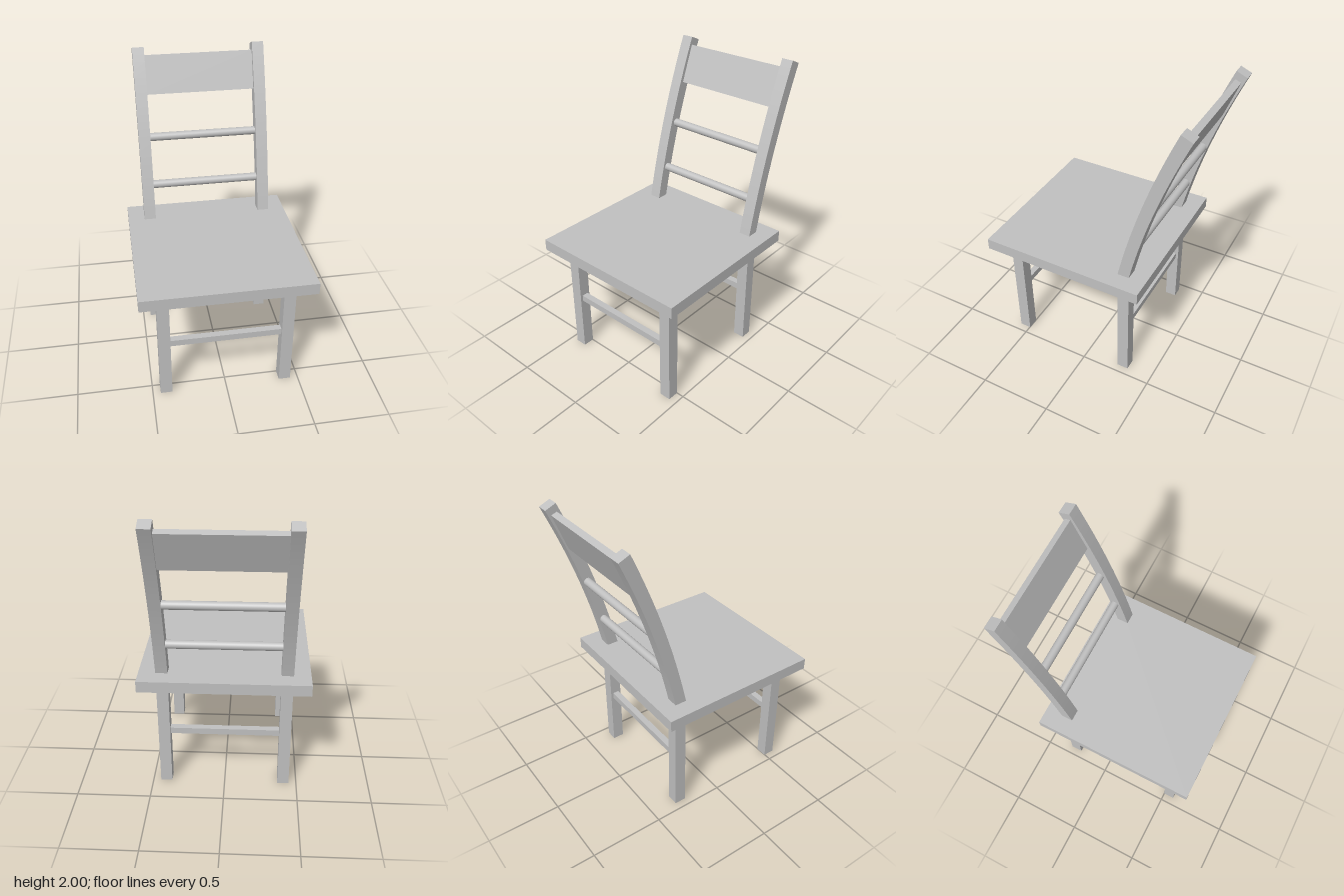
import * as THREE from 'three';

export function createModel() {
  const chair = new THREE.Group();
  chair.name = 'chair';
  const grey = new THREE.MeshStandardMaterial({ color: 0xc0c0c0 });
  grey.name = 'light grey';

  function add(name, geometry, x, y, z) {
    const mesh = new THREE.Mesh(geometry, grey);
    mesh.name = name;
    mesh.position.set(x, y, z);
    chair.add(mesh);
    return mesh;
  }

  const seatBottom = 0.797, seatTop = 0.875;
  const post = 0.079, postX = 0.408;
  const span = 2 * postX - post; // clear width between the posts
  const frontZ = 0.537, backZ = -0.283;

  // Seat slab
  add('seat', new THREE.BoxGeometry(1.12, seatTop - seatBottom, 1.116),
    0, (seatBottom + seatTop) / 2, 0.122);

  // Legs and the low stretcher joining each pair
  const legGeo = new THREE.BoxGeometry(post, seatBottom, post);
  const stretcherGeo = new THREE.BoxGeometry(span, 0.044, 0.044);
  for (const [label, z] of [['front', frontZ], ['back', backZ]]) {
    for (const [side, s] of [['Left', 1], ['Right', -1]]) {
      add(`${label}${side}Leg`, legGeo, s * postX, seatBottom / 2, z);
    }
    add(`${label}Stretcher`, stretcherGeo, 0, 0.413, z);
  }

  // Back posts: a curved side profile (z, y) extruded across x
  const profile = new THREE.Shape();
  profile.moveTo(-0.322, seatTop);
  profile.lineTo(-0.243, seatTop);
  profile.quadraticCurveTo(-0.366, 1.455, -0.605, 2);
  profile.lineTo(-0.678, 1.968);
  profile.quadraticCurveTo(-0.44, 1.431, -0.322, seatTop);
  const postGeo = new THREE.ExtrudeGeometry(profile,
    { depth: post, bevelEnabled: false, curveSegments: 24 });
  postGeo.rotateY(-Math.PI / 2);
  postGeo.translate(post / 2, 0, 0);
  add('leftBackPost', postGeo, postX, 0, 0);
  add('rightBackPost', postGeo, -postX, 0, 0);

  // Round back rails
  const railGeo = new THREE.CylinderGeometry(0.028, 0.028, span, 32);
  railGeo.rotateZ(Math.PI / 2);
  add('lowerRail', railGeo, 0, 1.1, -0.34);
  add('upperRail', railGeo, 0, 1.418, -0.438);

  // Flat top panel, leaning with the posts
  const panel = add('topPanel', new THREE.BoxGeometry(span, 0.263, 0.042), 0, 1.815, -0.576);
  panel.rotation.x = -0.366;

  return chair;
}
